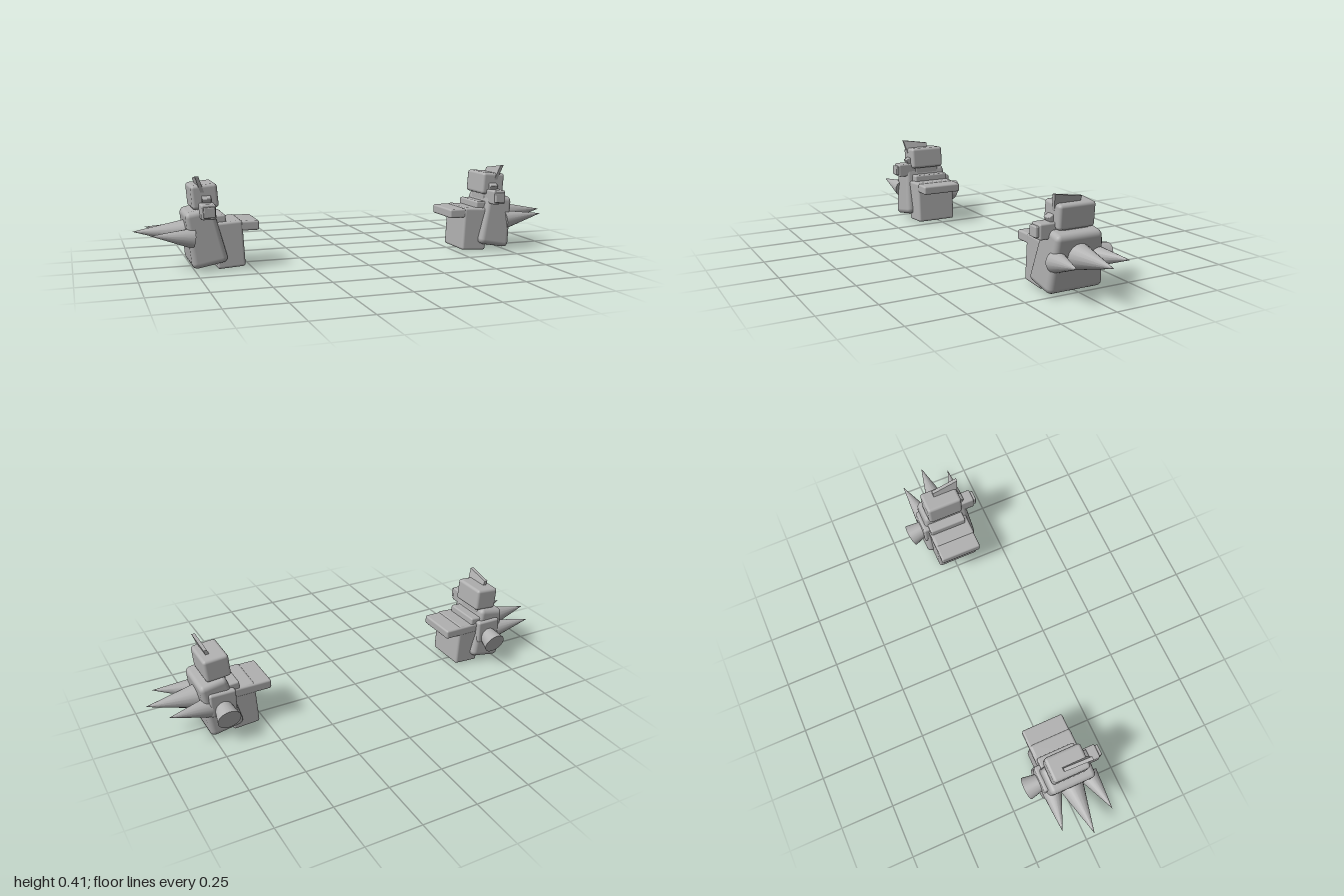
import * as THREE from 'three';
import { RoundedBoxGeometry } from 'three/addons/geometries/RoundedBoxGeometry.js';

const metal = new THREE.MeshStandardMaterial({ color: 0xb0b0b0 });
metal.name = 'grey metal';

// One shoulder guard; s is +1 for the model's left and -1 for its right
function shoulder(s) {
  const group = new THREE.Group();
  group.name = s > 0 ? 'leftShoulder' : 'rightShoulder';

  const add = (name, geo) => {
    const mesh = new THREE.Mesh(geo, metal);
    mesh.name = name;
    group.add(mesh);
    return mesh;
  };

  // Bevelled block, optionally narrowed towards its top in x and z
  const block = (name, size, pos, r, tilt = 0, topX = 1, topZ = 1) => {
    const [w, h, d] = size;
    const geo = new RoundedBoxGeometry(w, h, d, 2, r);
    const p = geo.attributes.position;
    for (let i = 0; i < p.count; i++) {
      const t = p.getY(i) / h + 0.5;
      p.setX(i, p.getX(i) * (1 + (topX - 1) * t));
      p.setZ(i, p.getZ(i) * (1 + (topZ - 1) * t));
    }
    const mesh = add(name, geo);
    mesh.position.set(pos[0] * s, pos[1], pos[2]);
    mesh.rotation.z = tilt * s;
    return mesh;
  };

  // Round tapered part running from point a to point b
  const taper = (name, a, b, ra, rb, sides) => {
    const from = new THREE.Vector3(a[0] * s, a[1], a[2]);
    const to = new THREE.Vector3(b[0] * s, b[1], b[2]);
    const dir = to.clone().sub(from);
    const geo = rb === 0
      ? new THREE.ConeGeometry(ra, dir.length(), sides)
      : new THREE.CylinderGeometry(rb, ra, dir.length(), sides);
    const mesh = add(name, geo);
    mesh.position.copy(from).add(to).multiplyScalar(0.5);
    mesh.quaternion.setFromUnitVectors(new THREE.Vector3(0, 1, 0), dir.normalize());
  };

  // Main armour, inner block and the shelf reaching towards the neck
  block('shoulderArmour', [0.16, 0.245, 0.265], [0.705, 0.145, 0.02], 0.025, -0.18, 0.77, 0.8);
  block('innerBlock', [0.125, 0.205, 0.2], [0.595, 0.106, 0.018], 0.012, -0.06);
  block('shelf', [0.18, 0.043, 0.2], [0.553, 0.186, 0.015], 0.009);
  block('step', [0.06, 0.06, 0.18], [0.637, 0.207, 0.01], 0.008, -0.06);
  block('backPlate', [0.12, 0.11, 0.05], [0.695, 0.165, -0.083], 0.01);

  // Head with snout and brow
  block('neck', [0.085, 0.06, 0.13], [0.7, 0.265, 0.015], 0.01);
  block('head', [0.115, 0.105, 0.172], [0.697, 0.32, 0.015], 0.014, -0.08);
  block('snout', [0.064, 0.066, 0.12], [0.693, 0.262, 0.11], 0.008);
  block('snoutTip', [0.05, 0.046, 0.04], [0.692, 0.262, 0.164], 0.005);
  block('snoutBase', [0.05, 0.05, 0.06], [0.69, 0.235, 0.1], 0.006);
  block('brow', [0.04, 0.028, 0.05], [0.692, 0.312, 0.095], 0.004).rotation.x = 0.5;

  // Crest fin leaning outwards
  const outline = new THREE.Shape([[0.1, 0.335], [0.115, 0.411], [-0.015, 0.391], [-0.015, 0.345]]
    .map(([z, y]) => new THREE.Vector2(z, y)));
  const fin = new THREE.ExtrudeGeometry(outline, { depth: 0.016, bevelEnabled: false });
  fin.translate(0, 0, -0.008).rotateY(-Math.PI / 2);
  const fp = fin.attributes.position;
  for (let i = 0; i < fp.count; i++) {
    fp.setX(i, fp.getX(i) + s * (0.712 + (fp.getY(i) - 0.35) * 0.35));
  }
  fin.computeVertexNormals();
  add('crest', fin);

  // Three outward spikes
  taper('middleSpike', [0.77, 0.16, 0.02], [1.0, 0.172, 0.02], 0.057, 0, 16);
  taper('frontSpike', [0.755, 0.145, 0.113], [0.937, 0.17, 0.14], 0.045, 0, 16);
  taper('rearSpike', [0.755, 0.145, -0.068], [0.937, 0.17, -0.104], 0.045, 0, 16);

  // Rear thruster, flaring backwards and down
  taper('thruster', [0.695, 0.149, -0.075], [0.695, 0.119, -0.164], 0.034, 0.053, 24);

  return group;
}

export function createModel() {
  const model = new THREE.Group();
  model.name = 'shoulderArmourPair';
  model.add(shoulder(1), shoulder(-1));
  return model;
}
